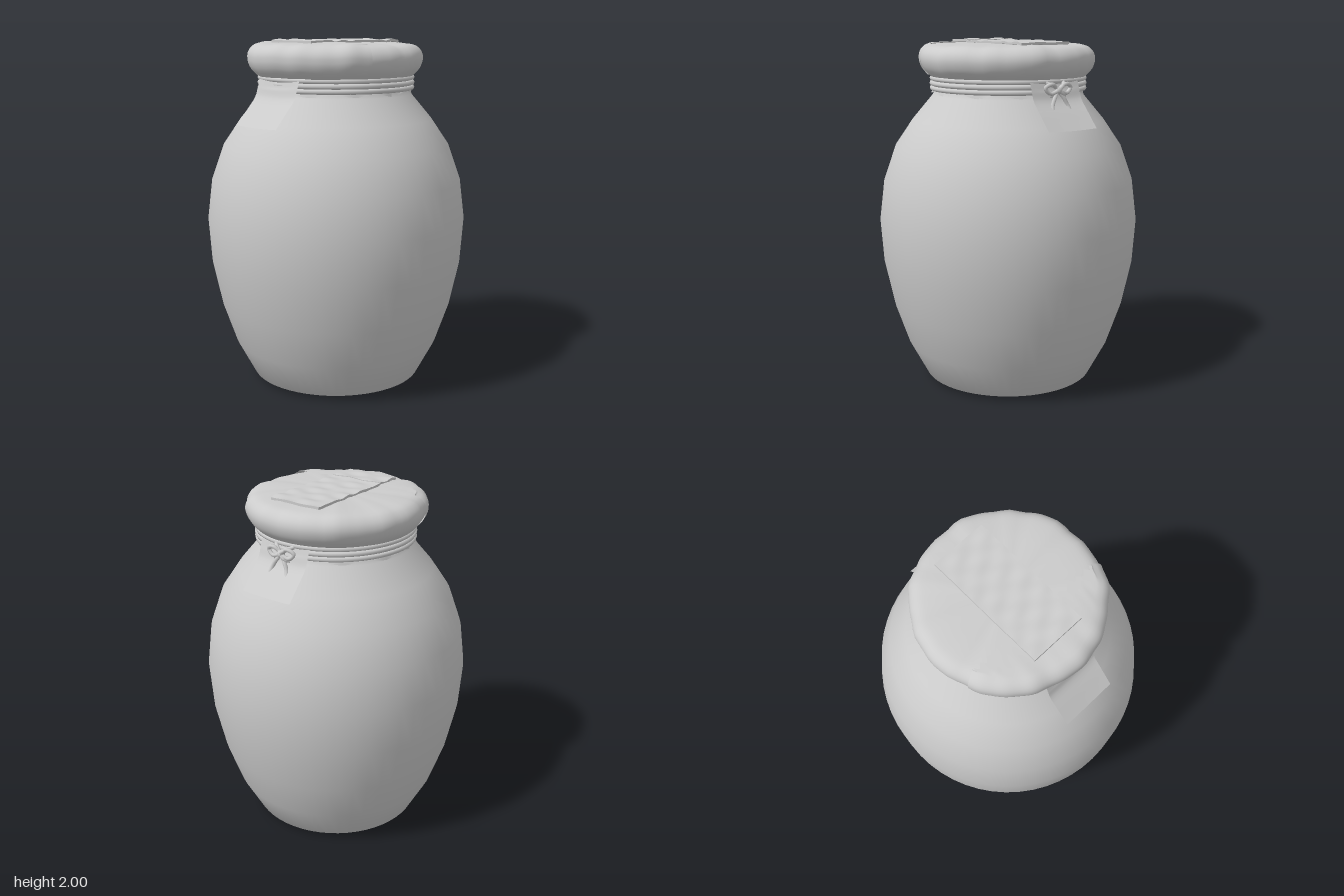
import * as THREE from 'three';

const solid = new THREE.MeshStandardMaterial({ color: 0xcccccc });
const thin = new THREE.MeshStandardMaterial({ color: 0xcccccc, side: THREE.DoubleSide });

// Surface from a rule fn(u, v) -> [x, y, z]; wrap joins the u ends smoothly
function surface(nu, nv, fn, wrap = false) {
  const pos = [], idx = [];
  const cols = wrap ? nu : nu + 1;
  for (let j = 0; j <= nv; j++) {
    for (let i = 0; i < cols; i++) pos.push(...fn(i / nu, j / nv));
  }
  for (let j = 0; j < nv; j++) {
    for (let i = 0; i < nu; i++) {
      const a = j * cols + i, b = j * cols + ((i + 1) % cols);
      idx.push(a, a + cols, b, b, a + cols, b + cols);
    }
  }
  const g = new THREE.BufferGeometry();
  g.setAttribute('position', new THREE.Float32BufferAttribute(pos, 3));
  g.setIndex(idx);
  g.computeVertexNormals();
  return g;
}

function add(parent, name, geometry, material = solid) {
  const mesh = new THREE.Mesh(geometry, material);
  mesh.name = name;
  parent.add(mesh);
  return mesh;
}

const curve = pts => new THREE.CatmullRomCurve3(pts.map(p => new THREE.Vector3(...p)));

// Fabric unevenness around the rim
const wrinkle = a => 0.004 * Math.sin(7 * a + 0.6) + 0.003 * Math.sin(13 * a + 2) + 0.002 * Math.sin(22 * a);

// Cover profile from the centre of the lid over the rim to the skirt hem
const coverProfile = curve([
  [0, 1.98, 0], [0.2, 1.98, 0], [0.38, 1.975, 0], [0.455, 1.962, 0], [0.49, 1.93, 0], [0.5, 1.89, 0],
  [0.485, 1.84, 0], [0.45, 1.8, 0], [0.425, 1.78, 0], [0.425, 1.735, 0], [0.437, 1.705, 0],
]);
function coverPoint(a, t, offset = 0) {
  const p = coverProfile.getPoint(t);
  const w = wrinkle(a) * Math.min(1, p.x / 0.45);
  const hem = t > 0.9 ? (t - 0.9) * 10 : 0;
  const r = p.x + w + (t > 0.2 ? offset : 0);
  const y = p.y + w * 0.6 + hem * 0.01 * Math.sin(11 * a) + (t < 0.5 ? offset : 0);
  return [r * Math.sin(a), y, r * Math.cos(a)];
}

export function createModel() {
  const model = new THREE.Group();
  model.name = 'coveredJar';

  // Jar body with base, belly, shoulder and neck
  const jarProfile = [
    [0, 0.005], [0.43, 0.005], [0.5, 0.03], [0.605, 0.23], [0.683, 0.46], [0.738, 0.72], [0.755, 0.97],
    [0.726, 1.2], [0.655, 1.4], [0.553, 1.55], [0.435, 1.69], [0.41, 1.75], [0.41, 1.9], [0, 1.9],
  ].map(p => new THREE.Vector2(...p));
  add(model, 'jarBody', new THREE.LatheGeometry(jarProfile, 56));

  // Cloth cover
  const cover = new THREE.Group();
  cover.name = 'clothCover';
  model.add(cover);
  add(cover, 'cloth', surface(72, 40, (u, v) => coverPoint(u * Math.PI * 2, v), true), thin);

  // Overlapping front piece with a pinked edge across the lid
  const span = 1.165, rimT = 0.27;
  add(cover, 'frontFlap', surface(56, 22, (u, v) => {
    const a = (u * 2 - 1) * span;
    const rim = coverPoint(a, rimT, 0.007);
    if (v >= 0.4) return coverPoint(a, rimT + (v - 0.4) / 0.6 * (0.72 - rimT), 0.007);
    const k = v / 0.4;
    const tooth = Math.abs(((u * 14) % 1) - 0.5) * 0.05;
    const z0 = Math.min(0.172 + tooth, rim[2]);
    const z = THREE.MathUtils.lerp(z0, rim[2], k);
    const y = THREE.MathUtils.lerp(1.988, rim[1], k * k);
    return [rim[0], Math.min(y, 1.988 - 0.012 * Math.pow(Math.abs(rim[0]) / 0.45, 4)), z];
  }), thin);

  // Rumpled paper strip over the lid, in two pieces that meet at the seam
  const bump = (x, z) => 0.0035 * Math.sin(x * 34) * Math.sin(z * 45) + 0.002 * Math.cos(z * 62);
  const strip = (z0, z1, y) => {
    const g = new THREE.BoxGeometry(0.32, 0.014, z1 - z0, 16, 1, Math.ceil((z1 - z0) * 60));
    g.translate(0, y, (z0 + z1) / 2);
    const p = g.attributes.position;
    for (let i = 0; i < p.count; i++) p.setY(i, p.getY(i) + bump(p.getX(i), p.getZ(i)));
    g.computeVertexNormals();
    return g;
  };
  add(cover, 'lidStripBack', strip(-0.36, 0.19, 1.986));
  add(cover, 'lidStripFront', strip(0.19, 0.35, 1.99));

  // Cord wound round the neck
  const cord = new THREE.Group();
  cord.name = 'neckCord';
  model.add(cord);
  for (const [y, tube] of [[1.785, 0.014], [1.757, 0.015], [1.729, 0.014]]) {
    const ring = add(cord, 'cordTurn', new THREE.TorusGeometry(0.438, tube, 8, 64));
    ring.rotation.x = Math.PI / 2;
    ring.position.y = y;
  }

  // Strip ends hanging out from under the cord, front and back
  const tagPath = curve([[0, 1.785, 0.44], [0, 1.74, 0.456], [0, 1.69, 0.475], [0, 1.62, 0.537], [0, 1.54, 0.61]]);
  for (const side of [1, -1]) {
    const tag = add(model, side > 0 ? 'frontTag' : 'backTag', surface(10, 16, (u, v) => {
      const s = u * 2 - 1, p = tagPath.getPoint(v);
      const sag = 0.006 * (1 - s * s);
      return [s * 0.16, p.y - sag * (v < 0.2 ? 2 : 0.7), p.z + sag * (1 - v)];
    }), thin);
    if (side < 0) tag.rotation.y = Math.PI;
  }

  // Knot at the back: crossed strands, two small loops and loose ends
  const knot = new THREE.Group();
  knot.name = 'knot';
  knot.position.set(0, 1.74, -0.465);
  model.add(knot);
  for (const s of [1, -1]) {
    const strands = {
      knotStrand: [[-0.06 * s, 0.04, 0.02], [-0.02 * s, 0.02, -0.015 - 0.006 * s], [0.025 * s, -0.02, -0.015 + 0.006 * s], [0.05 * s, -0.03, 0.0]],
      knotLoop: [[0, 0, -0.005], [0.045 * s, 0.035, -0.02], [0.085 * s, 0.015, -0.01], [0.055 * s, -0.015, -0.015], [0, 0, -0.02]],
      looseEnd: [[0, 0, -0.01], [0.03 * s, -0.04, -0.022], [0.05 * s, -0.08, -0.03], [0.06 * s, -0.11, -0.045]],
    };
    for (const [name, pts] of Object.entries(strands)) {
      add(knot, name, new THREE.TubeGeometry(curve(pts), 16, 0.011, 7), thin);
    }
  }
  const core = add(knot, 'knotCore', new THREE.SphereGeometry(0.022, 12, 8));
  core.position.z = -0.012;

  return model;
}
